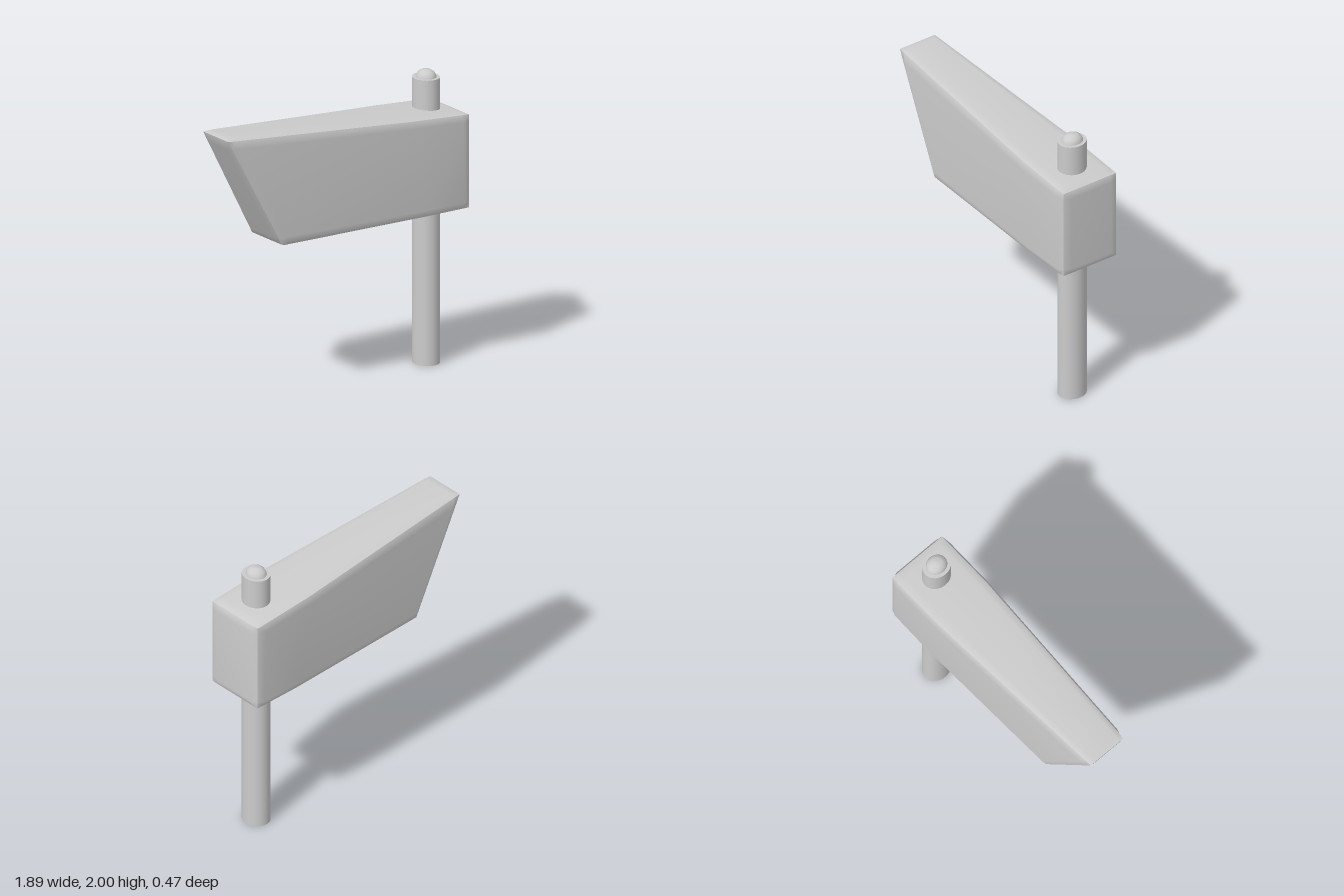
import * as THREE from 'three';

const material = new THREE.MeshStandardMaterial({ color: 0xcccccc, side: THREE.DoubleSide });
const lerp = THREE.MathUtils.lerp;

// Grid stations along the length, height and width of the head
const stations = [
  [-1, -0.94, 0.53, 0.94, 1],
  [-1, -0.86, 0.86, 1],
  [-1, -0.75, 0.75, 1],
];

// Outward swell of each face: [negative side, positive side]
const swell = [
  [[-0.014, -0.007, 0], [0.02, 0, 0]],
  [[0, -0.02, 0], [0, 0.018, 0]],
  [[0, 0, -0.02], [0, 0, 0.02]],
];

// Maps a cube coordinate to the slanted, tapered head
function headPoint([a, b, c]) {
  const u = (a + 1) / 2, v = (b + 1) / 2;
  const x = lerp(lerp(-0.535, -0.945, v), 0.925, u);
  const y = lerp(1.075, lerp(1.845, 1.71, u), v);
  const taper = Math.min(1, (a + 1) / 1.53);
  const halfWidth = lerp(lerp(0.168, 0.142, v), 0.215, taper);
  return new THREE.Vector3(x, y, c * halfWidth - 0.004);
}

// One pillowed panel: edges stay put, inner points swell outward
function headPanel(axis, side) {
  const j = (axis + 1) % 3, k = (axis + 2) % 3;
  const js = stations[j], ks = stations[k];
  const points = [], index = [];
  js.forEach((p, m) => ks.forEach((q, n) => {
    const coord = [];
    coord[axis] = side; coord[j] = p; coord[k] = q;
    const point = headPoint(coord);
    if (Math.abs(p) < 1 && Math.abs(q) < 1) {
      point.add(new THREE.Vector3(...swell[axis][side > 0 ? 1 : 0]));
    }
    points.push(point);
    if (m && n) {
      const d = m * ks.length + n, c = d - 1, b = d - ks.length, a = b - 1;
      if (side > 0) index.push(a, c, d, a, d, b);
      else index.push(a, d, c, a, b, d);
    }
  }));
  const geometry = new THREE.BufferGeometry().setFromPoints(points);
  geometry.setIndex(index);
  geometry.computeVertexNormals();
  return geometry;
}

export function createModel() {
  const model = new THREE.Group();
  const add = (geometry, name, parent) => {
    const mesh = new THREE.Mesh(geometry, material);
    mesh.name = name;
    parent.add(mesh);
    return mesh;
  };

  // Slanted head, six softly swollen panels meeting at sharp edges
  const head = new THREE.Group();
  head.name = 'head';
  model.add(head);
  const names = [['slantedEnd', 'squareEnd'], ['underside', 'topPanel'], ['backPanel', 'frontPanel']];
  names.forEach((pair, axis) => pair.forEach((name, i) => add(headPanel(axis, i * 2 - 1), name, head)));

  // Hollow oval post with a closed top
  const post = new THREE.Group();
  post.name = 'post';
  post.position.set(0.735, 0, -0.003);
  post.scale.set(0.88, 1, 1);
  model.add(post);
  add(new THREE.CylinderGeometry(0.1, 0.1, 1.95, 32, 1, true), 'postTube', post).position.y = 0.975;
  const cap = add(new THREE.CircleGeometry(0.1, 32), 'postCap', post);
  cap.rotation.x = -Math.PI / 2;
  cap.position.y = 1.95;

  // Small dome on the post
  const profile = [[0.075, 1.945], [0.073, 1.96], [0.06, 1.982], [0.034, 1.997], [0, 2]]
    .map(([r, y]) => new THREE.Vector2(r, y));
  add(new THREE.LatheGeometry(profile, 24), 'dome', post);

  return model;
}
